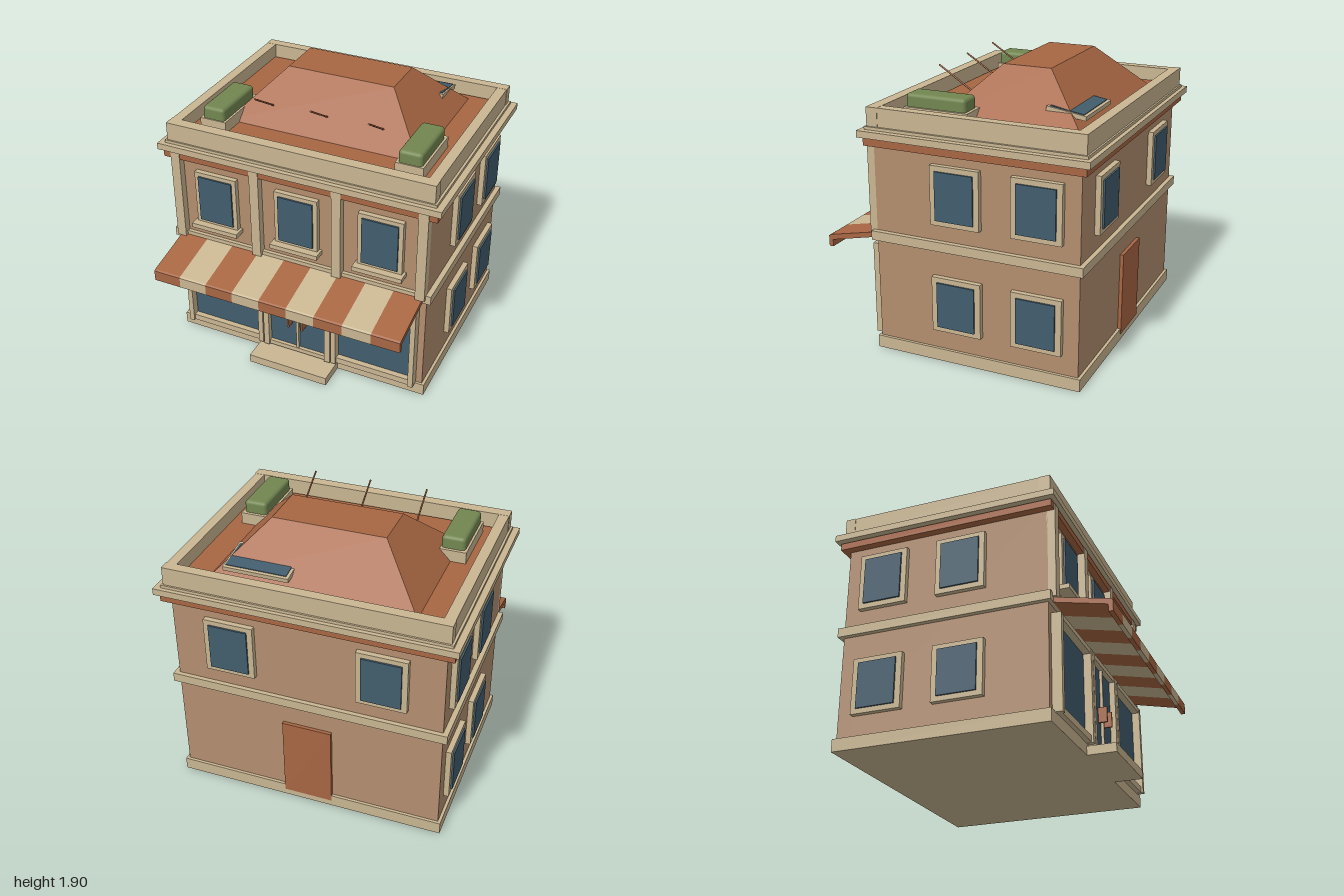
import * as THREE from 'three';
import { RoundedBoxGeometry } from 'three/addons/geometries/RoundedBoxGeometry.js';

function material(name, color) {
  const m = new THREE.MeshStandardMaterial({ color });
  m.name = name;
  return m;
}

export function createModel() {
  const wall = material('wall tan', 0xb38e6f);
  const trim = material('stone trim', 0xc9b692);
  const terracotta = material('terracotta', 0xa86643);
  const glass = material('window glass', 0x425d6d);
  const leaf = material('hedge green', 0x728650);

  const model = new THREE.Group();
  model.name = 'shopBuilding';

  function add(name, geometry, mat, parent = model) {
    const mesh = new THREE.Mesh(geometry, mat);
    mesh.name = name;
    parent.add(mesh);
    return mesh;
  }
  // Box given by its limits on each axis
  function box(name, mat, x0, x1, y0, y1, z0, z1, parent = model) {
    const mesh = add(name, new THREE.BoxGeometry(x1 - x0, y1 - y0, z1 - z0), mat, parent);
    mesh.position.set((x0 + x1) / 2, (y0 + y1) / 2, (z0 + z1) / 2);
    return mesh;
  }
  function group(name, parent = model) {
    const g = new THREE.Group();
    g.name = name;
    parent.add(g);
    return g;
  }

  // Walls and horizontal bands
  box('walls', wall, -0.915, 0.915, 0.05, 1.5, -0.868, 0.548);
  box('plinth', trim, -0.935, 0.935, 0, 0.085, -0.888, 0.565);
  box('doorStep', trim, -0.295, 0.295, 0, 0.06, 0.55, 0.76);
  box('middleBand', trim, -0.95, 0.95, 0.782, 0.845, -0.898, 0.574);
  box('lowerCornice', terracotta, -0.97, 0.97, 1.427, 1.475, -0.914, 0.594);
  box('cornice', trim, -1, 1, 1.485, 1.53, -0.945, 0.622);
  box('parapetLedge', trim, -0.957, 0.957, 1.53, 1.55, -0.917, 0.59);

  // Parapet around the roof
  const parapet = group('parapet');
  box('frontParapet', trim, -0.943, 0.943, 1.55, 1.675, 0.5, 0.579, parapet);
  box('backParapet', trim, -0.943, 0.943, 1.55, 1.675, -0.905, -0.834, parapet);
  for (const s of [-1, 1]) {
    const side = box('sideParapet', trim, 0.87, 0.94, 1.55, 1.674, -0.834, 0.5, parapet);
    side.position.x *= s;
  }

  // Roof deck and truncated hip roof
  box('roofDeck', terracotta, -0.868, 0.868, 1.54, 1.58, -0.82, 0.48);
  const hip = new THREE.BoxGeometry(1.38, 0.32, 0.984);
  const pos = hip.attributes.position;
  for (let i = 0; i < pos.count; i++) {
    if (pos.getY(i) > 0) {
      pos.setX(i, Math.sign(pos.getX(i)) * 0.382);
      pos.setZ(i, Math.sign(pos.getZ(i)) * 0.165);
    }
  }
  hip.computeVertexNormals();
  add('hipRoof', hip, terracotta).position.set(0, 1.74, -0.277);

  // Slanted rods on the front slope
  for (const x of [-0.4, 0, 0.4]) {
    const path = new THREE.LineCurve3(new THREE.Vector3(x, 1.68, 0.07), new THREE.Vector3(x, 1.855, 0.345));
    const rod = add('roofRod', new THREE.CylinderGeometry(0.006, 0.006, path.getLength(), 8), terracotta);
    rod.position.copy(path.getPoint(0.5));
    rod.quaternion.setFromUnitVectors(new THREE.Vector3(0, 1, 0), path.getTangent(0));
  }

  // Skylight set into the back slope
  const skylight = group('skylight');
  skylight.position.set(0.368, 1.68, -0.628);
  skylight.rotation.x = -0.15;
  box('skylightFrame', trim, -0.222, 0.222, -0.015, 0.015, -0.133, 0.133, skylight);
  box('skylightGlass', glass, -0.202, 0.21, 0, 0.02, -0.112, 0.112, skylight);

  // Rooftop planters
  for (const s of [-1, 1]) {
    const planter = group('planter');
    planter.position.set(s * 0.697, 0, 0.17);
    box('planterBox', trim, -0.095, 0.095, 1.56, 1.66, -0.225, 0.225, planter);
    const hedge = add('hedge', new RoundedBoxGeometry(0.16, 0.12, 0.42, 3, 0.025), leaf, planter);
    hedge.position.set(0, 1.685, 0.007);
  }

  // Framed window facing +z, placed on a wall and turned
  function windowUnit(x, y, z, turn, w, h, gw, gh) {
    const g = group('window');
    g.position.set(x, y, z);
    g.rotation.y = turn;
    box('windowFrame', trim, -w / 2, w / 2, -h / 2, h / 2, -0.01, 0.036, g);
    box('windowGlass', glass, -gw / 2, gw / 2, -gh / 2, gh / 2, 0, 0.048, g);
    return g;
  }
  for (const x of [-0.595, 0, 0.595]) {
    const w = windowUnit(x, 1.157, 0.548, 0, 0.31, 0.392, 0.25, 0.335);
    box('windowSill', trim, -0.173, 0.173, -0.222, -0.19, -0.01, 0.087, w);
  }
  for (const s of [-1, 1]) {
    for (const z of [-0.037, -0.59]) {
      windowUnit(s * 0.915, 1.157, z, s * Math.PI / 2, 0.34, 0.395, 0.265, 0.325);
      windowUnit(s * 0.915, 0.413, z, s * Math.PI / 2, 0.345, 0.378, 0.265, 0.31);
    }
    windowUnit(s * 0.515, 1.152, -0.868, Math.PI, 0.34, 0.385, 0.265, 0.32);
  }
  box('backDoor', terracotta, -0.17, 0.17, 0.045, 0.63, -0.892, -0.86);

  // Upper pilasters
  for (const x of [-0.882, -0.294, 0.294, 0.882])
    box('pilaster', trim, x - 0.033, x + 0.033, 0.815, 1.472, 0.54, 0.6);

  // Shop windows, mirrored
  for (const s of [-1, 1]) {
    const shop = group('shopWindow');
    shop.position.x = s * 0.567;
    box('shopGlass', glass, -0.27, 0.27, 0.11, 0.71, 0.54, 0.56, shop);
    for (const e of [-1, 1])
      box('shopPost', trim, e * 0.286 - 0.018, e * 0.286 + 0.018, 0.078, 0.725, 0.54, 0.614, shop);
    box('shopTopRail', trim, -0.27, 0.27, 0.69, 0.725, 0.54, 0.61, shop);
    box('shopBottomRail', trim, -0.27, 0.27, 0.08, 0.125, 0.54, 0.6, shop);
  }

  // Double entrance door
  const door = group('entranceDoor');
  box('doorGlass', glass, -0.22, 0.22, 0.09, 0.7, 0.54, 0.575, door);
  box('doorBottomRail', trim, -0.215, 0.215, 0.072, 0.105, 0.54, 0.6, door);
  box('doorTopRail', trim, -0.215, 0.215, 0.69, 0.725, 0.54, 0.61, door);
  box('doorMullion', trim, -0.009, 0.009, 0.1, 0.7, 0.54, 0.595, door);
  for (const s of [-1, 1]) {
    box('doorPost', trim, s * 0.235 - 0.02, s * 0.235 + 0.02, 0.072, 0.725, 0.54, 0.614, door);
    box('doorHandle', terracotta, s * 0.052 - 0.007, s * 0.052 + 0.007, 0.3, 0.405, 0.57, 0.635, door);
  }

  // Striped awning: one profile (z, y) extruded along x for each stripe
  const awning = group('awning');
  const profile = new THREE.Shape([
    [0.55, 0.787], [0.917, 0.704], [0.917, 0.655], [0.947, 0.655], [0.947, 0.73], [0.935, 0.738], [0.55, 0.822],
  ].map(([z, y]) => new THREE.Vector2(z, y)));
  const stripeWidth = 1.79 / 9;
  const stripe = new THREE.ExtrudeGeometry(profile, { depth: stripeWidth, bevelEnabled: false });
  stripe.rotateY(-Math.PI / 2);
  for (let i = 0; i < 9; i++) {
    const m = add('awningStripe', stripe, i % 2 ? trim : terracotta, awning);
    m.position.x = -0.895 + (i + 1) * stripeWidth;
  }

  return model;
}
